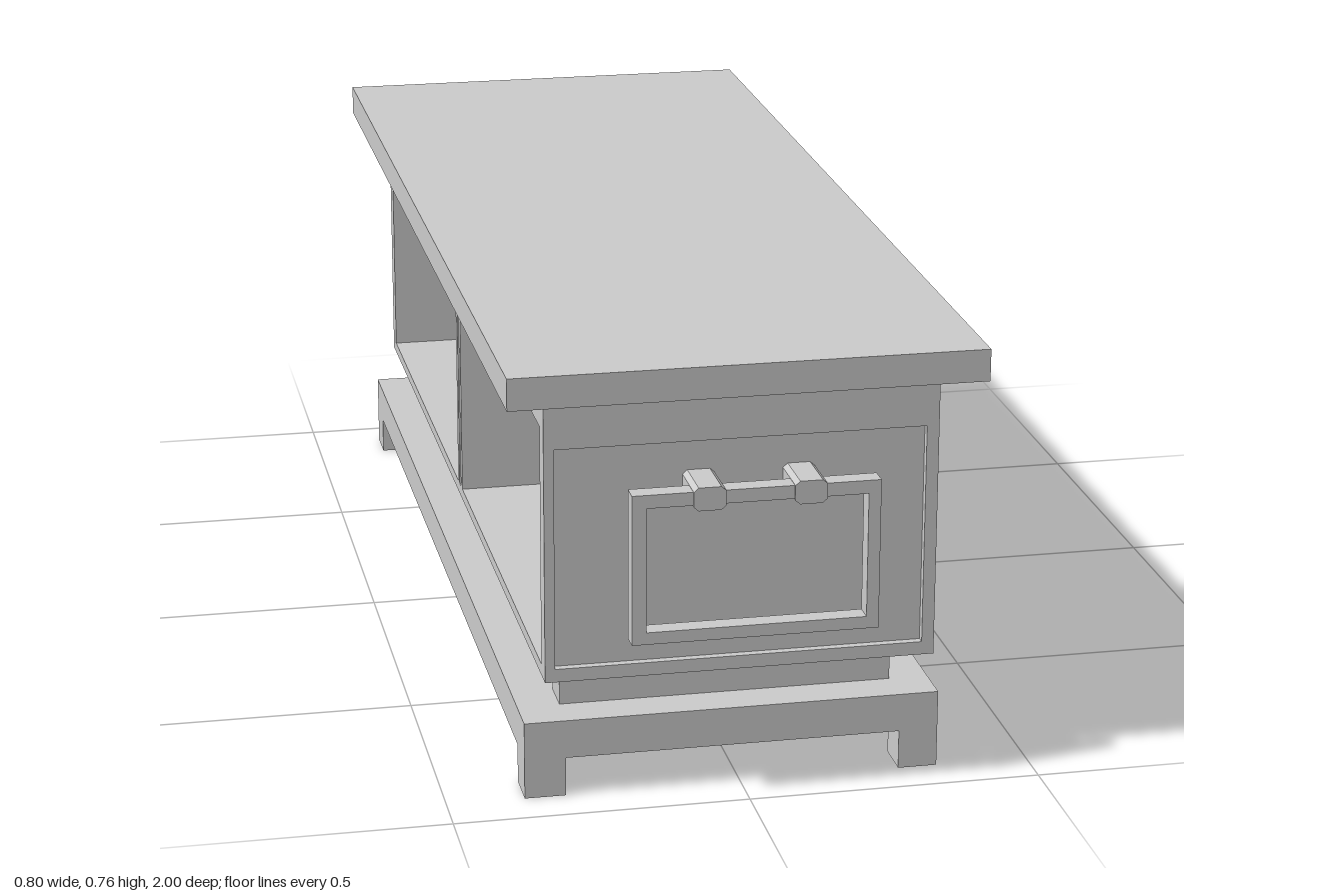
import * as THREE from 'three';

const material = new THREE.MeshStandardMaterial({ color: 0xcccccc, flatShading: true });

function add(parent, name, geometry) {
  const mesh = new THREE.Mesh(geometry, material);
  mesh.name = name;
  parent.add(mesh);
  return mesh;
}

// Box given by its limits on each axis
function box(parent, name, [x0, x1], [y0, y1], [z0, z1]) {
  const mesh = add(parent, name, new THREE.BoxGeometry(x1 - x0, y1 - y0, z1 - z0));
  mesh.position.set((x0 + x1) / 2, (y0 + y1) / 2, (z0 + z1) / 2);
  return mesh;
}

const polygon = (points) => points.map(([x, y]) => new THREE.Vector2(x, y));
const rectangle = (x0, x1, y0, y1) => polygon([[x0, y0], [x1, y0], [x1, y1], [x0, y1]]);

function extrude(outline, depth, hole) {
  const shape = new THREE.Shape(outline);
  if (hole) shape.holes.push(new THREE.Path(hole));
  return new THREE.ExtrudeGeometry(shape, { depth, bevelEnabled: false });
}

// Hanging rectangular pull held by two chamfered brackets
function createHandle(name) {
  const handle = new THREE.Group();
  handle.name = name;
  const ring = add(handle, 'handleRing',
    extrude(rectangle(-0.2, 0.216, 0.29, 0.55), 0.034, rectangle(-0.176, 0.195, 0.311, 0.527)));
  ring.position.z = 0.962;
  for (const x of [-0.0715, 0.0975]) {
    const outline = polygon([[-0.027, 0.525], [-0.019, 0.518], [0.019, 0.518], [0.027, 0.525],
      [0.027, 0.551], [0.019, 0.558], [-0.019, 0.558], [-0.027, 0.551]]);
    const bracket = add(handle, 'handleBracket', extrude(outline, 0.095));
    bracket.position.set(x, 0, 0.905);
  }
  return handle;
}

export function createModel() {
  const model = new THREE.Group();
  model.name = 'lowCabinet';

  // Overhanging top
  box(model, 'tabletop', [-0.4, 0.4], [0.702, 0.757], [-0.98, 0.98]);

  // Stand: slab on four square feet, with two cross bars carrying the cabinet
  const base = new THREE.Group();
  base.name = 'base';
  model.add(base);
  box(base, 'baseSlab', [-0.368, 0.342], [0.068, 0.135], [-0.925, 0.925]);
  for (const x of [[-0.368, -0.298], [0.275, 0.342]]) {
    for (const z of [[-0.925, -0.855], [0.855, 0.925]]) box(base, 'foot', x, [0, 0.068], z);
  }
  for (const z of [-0.82, 0.82]) {
    box(base, 'crossBar', [-0.296, 0.275], [0.135, 0.205], [z - 0.034, z + 0.034]);
  }

  // Cabinet shell, open on one long side
  const cabinet = new THREE.Group();
  cabinet.name = 'cabinet';
  model.add(cabinet);
  box(cabinet, 'floorBoard', [-0.332, 0.308], [0.205, 0.225], [-0.91, 0.91]);
  box(cabinet, 'ceilingBoard', [-0.332, 0.308], [0.642, 0.702], [-0.888, 0.888]);

  // Closed long side, with a small notch at its upper rear corner
  const wall = add(cabinet, 'longWall', extrude(polygon([[-0.91, 0.205], [0.91, 0.205],
    [0.91, 0.702], [-0.888, 0.702], [-0.888, 0.638], [-0.91, 0.638]]), 0.024));
  wall.rotation.y = -Math.PI / 2;
  wall.position.x = 0.332;

  // End frames with recessed panels
  const recess = rectangle(-0.315, 0.311, 0.228, 0.612);
  const frontFrame = add(cabinet, 'frontFrame',
    extrude(rectangle(-0.332, 0.332, 0.205, 0.702), 0.015, recess));
  frontFrame.position.z = 0.909;
  const backFrame = add(cabinet, 'backFrame', extrude(polygon([[-0.332, 0.205], [0.332, 0.205],
    [0.332, 0.638], [0.308, 0.638], [0.308, 0.702], [-0.332, 0.702]]), 0.015, recess));
  backFrame.position.z = -0.924;
  for (const [name, z] of [['frontPanel', 0.899], ['backPanel', -0.899]]) {
    box(cabinet, name, [-0.332, 0.308], [0.225, 0.702], [z - 0.011, z + 0.011]);
  }

  // Double divider between the two compartments
  for (const z of [-0.016, 0.016]) {
    box(cabinet, 'dividerBoard', [-0.332, 0.308], [0.225, 0.642], [z - 0.009, z + 0.009]);
  }
  box(cabinet, 'dividerCore', [-0.318, 0.308], [0.225, 0.642], [-0.007, 0.007]);

  // Handles, the rear one turned half round
  model.add(createHandle('frontHandle'));
  const backHandle = createHandle('backHandle');
  backHandle.rotation.y = Math.PI;
  backHandle.position.x = 0.03;
  model.add(backHandle);

  return model;
}
